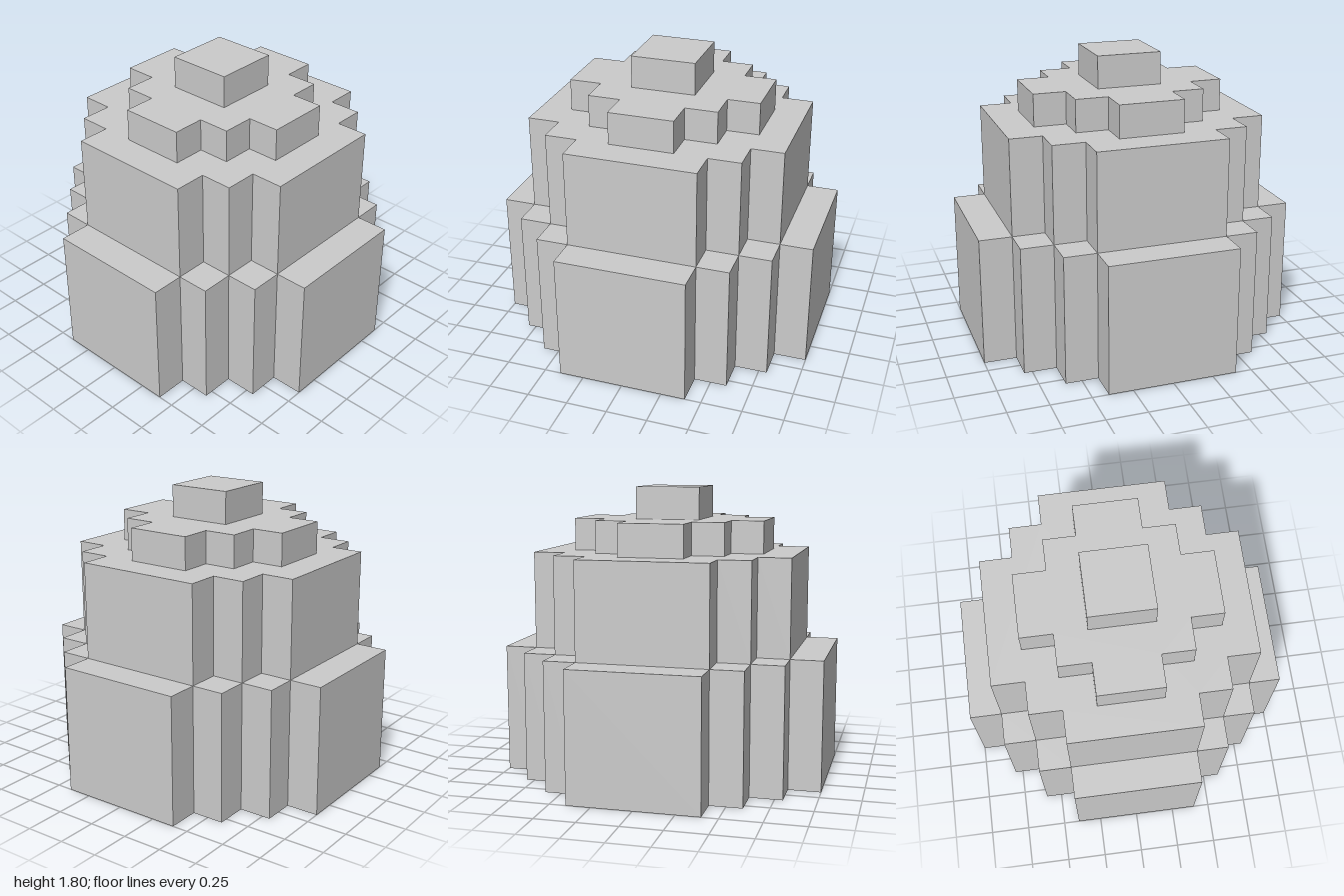
import * as THREE from 'three';

const STEP = 0.2;

// Stepped round outline: flat sides of half-width `flat` at distance `reach`, staircase corners between.
function steppedOutline(reach, flat) {
  const steps = Math.round((reach - flat) / STEP);
  const corner = [];
  for (let i = 0; i <= steps; i++) {
    const x = reach - i * STEP;
    const y = flat + i * STEP;
    corner.push([x, y]);
    if (i < steps) corner.push([x - STEP, y]);
  }
  // Repeat the corner in four quarter turns.
  const points = [];
  for (let turn = 0; turn < 4; turn++) {
    const c = [1, 0, -1, 0][turn];
    const s = [0, 1, 0, -1][turn];
    for (const [x, y] of corner) points.push(new THREE.Vector2(x * c - y * s, x * s + y * c));
  }
  return new THREE.Shape(points);
}

export function createModel() {
  const group = new THREE.Group();
  group.name = 'steppedDome';
  const material = new THREE.MeshStandardMaterial({ color: 0xcccccc, flatShading: true });

  // Tiers from the ground up
  const tiers = [
    { name: 'baseTier', reach: 1.0, flat: 0.4, bottom: 0, top: 0.8 },
    { name: 'middleTier', reach: 0.8, flat: 0.4, bottom: 0.8, top: 1.4 },
    { name: 'upperTier', reach: 0.6, flat: 0.2, bottom: 1.4, top: 1.6 },
    { name: 'topCap', reach: 0.2, flat: 0.2, bottom: 1.6, top: 1.8 },
  ];
  for (const { name, reach, flat, bottom, top } of tiers) {
    const geometry = new THREE.ExtrudeGeometry(steppedOutline(reach, flat), {
      depth: top - bottom,
      bevelEnabled: false,
    });
    geometry.rotateX(-Math.PI / 2);
    const mesh = new THREE.Mesh(geometry, material);
    mesh.name = name;
    mesh.position.y = bottom;
    group.add(mesh);
  }
  return group;
}
